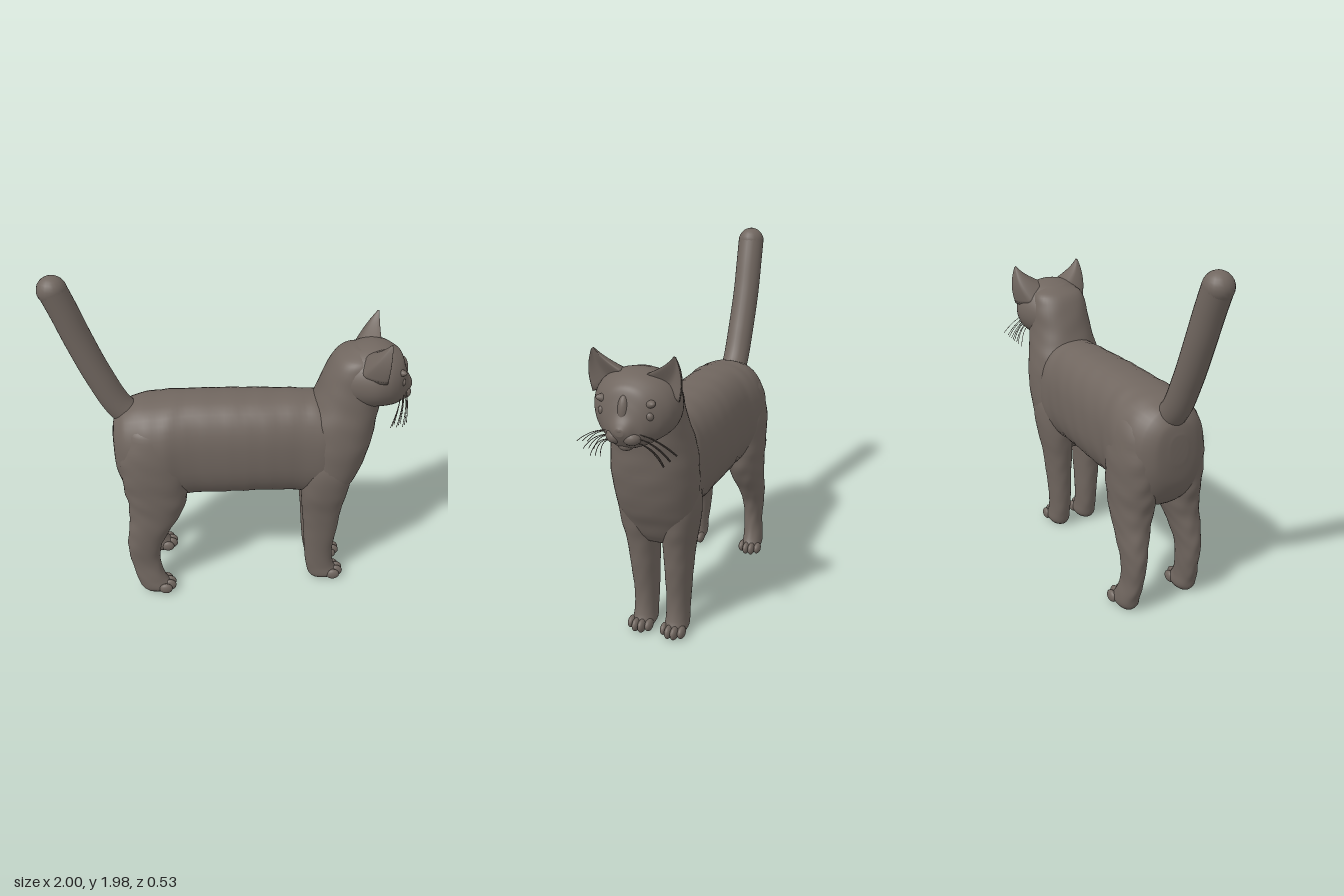
import * as THREE from 'three';

const V = (x, y, z) => new THREE.Vector3(x, y, z);
const fur = new THREE.MeshStandardMaterial({ color: 0x70665f });
fur.name = 'greyBrownFur';

function add(parent, name, geometry) {
  const mesh = new THREE.Mesh(geometry, fur);
  mesh.name = name;
  parent.add(mesh);
  return mesh;
}

// Closed smooth skin over rings of points, capped at both ends
function skin(rings) {
  const n = rings[0].length, pts = rings.flat(), idx = [];
  for (let i = 0; i < rings.length - 1; i++) {
    for (let j = 0; j < n; j++) {
      const k = (j + 1) % n, a = i * n + j, b = i * n + k;
      idx.push(a, b, b + n, a, b + n, a + n);
    }
  }
  for (const end of [0, rings.length - 1]) {
    const mid = V(0, 0, 0);
    rings[end].forEach(p => mid.addScaledVector(p, 1 / n));
    const c = pts.push(mid) - 1;
    for (let j = 0; j < n; j++) {
      const a = end * n + j, b = end * n + (j + 1) % n;
      end ? idx.push(c, a, b) : idx.push(c, b, a);
    }
  }
  const g = new THREE.BufferGeometry().setFromPoints(pts);
  g.setIndex(idx);
  g.computeVertexNormals();
  return g;
}

// Sections [position, low, high, half depth, z centre] along x (low/high in y) or y (low/high in x)
function loft(axis, sections, lumps = 0, steps = 6, power = 0.92) {
  const mids = new THREE.CatmullRomCurve3(sections.map(s => V(s[0], (s[1] + s[2]) / 2, s[4] || 0)));
  const sizes = new THREE.CatmullRomCurve3(sections.map(s => V(s[0], (s[2] - s[1]) / 2, s[3])));
  const rings = [], total = (sections.length - 1) * steps, n = 40;
  const soft = v => Math.sign(v) * Math.abs(v) ** power;
  for (let i = 0; i <= total; i++) {
    const m = mids.getPoint(i / total), r = sizes.getPoint(i / total), ring = [];
    for (let j = 0; j < n; j++) {
      const a = j / n * Math.PI * 2;
      const w = 1 + lumps * Math.sin(m.x * 47 + 2 * Math.sin(a * 2)) * Math.sin(a * 3 + m.x * 9);
      const c = soft(Math.cos(a)) * w, s = soft(Math.sin(a)) * w;
      ring.push(axis === 'x' ? V(m.x, m.y + r.y * c, m.z + r.z * s)
        : V(m.y + r.y * s, m.x, m.z + r.z * c));
    }
    rings.push(ring);
  }
  return skin(rings);
}

function blob(parent, name, pos, size) {
  const mesh = add(parent, name, new THREE.SphereGeometry(1, 20, 14));
  mesh.position.set(...pos);
  mesh.scale.set(...size);
  return mesh;
}

function makeBody(cat) {
  add(cat, 'torso', loft('x', [
    [-0.67, 0.93, 1.08, 0.05], [-0.655, 0.8, 1.15, 0.13], [-0.6, 0.68, 1.215, 0.2],
    [-0.5, 0.62, 1.25, 0.24], [-0.38, 0.63, 1.265, 0.25], [-0.25, 0.65, 1.275, 0.23],
    [0, 0.655, 1.278, 0.228], [0.2, 0.66, 1.275, 0.222], [0.4, 0.65, 1.272, 0.21],
    [0.5, 0.65, 1.26, 0.215], [0.62, 0.68, 1.2, 0.19], [0.7, 0.8, 1.1, 0.13],
  ], 0.008, 6, 0.84));
  add(cat, 'chestAndNeck', loft('y', [
    [0.57, 0.46, 0.62, 0.15], [0.62, 0.43, 0.655, 0.18], [0.7, 0.41, 0.695, 0.205],
    [0.8, 0.4, 0.745, 0.22], [1, 0.4, 0.8, 0.23], [1.15, 0.41, 0.818, 0.215],
    [1.25, 0.455, 0.83, 0.195], [1.35, 0.49, 0.84, 0.18], [1.45, 0.53, 0.83, 0.17],
    [1.52, 0.58, 0.8, 0.145], [1.565, 0.67, 0.78, 0.06],
  ], 0.008));
  // Upright tail with rounded tip
  const path = new THREE.CatmullRomCurve3([V(-0.48, 1.08, 0), V(-0.62, 1.21, 0),
    V(-0.72, 1.4, 0), V(-0.81, 1.62, 0), V(-0.87, 1.79, 0.005), V(-0.917, 1.915, 0.01)]);
  add(cat, 'tail', new THREE.TubeGeometry(path, 40, 0.077, 24));
  blob(cat, 'tailTip', [-0.917, 1.912, 0.01], [0.08, 0.078, 0.077]);
}

function makeLegs(cat, side) {
  const z = v => v * side;
  add(cat, 'hindLeg', loft('y', [
    [0.01, -0.53, -0.38, 0.045, z(0.19)], [0.04, -0.555, -0.365, 0.06, z(0.19)],
    [0.1, -0.575, -0.4, 0.056, z(0.19)], [0.2, -0.6, -0.43, 0.052, z(0.18)],
    [0.32, -0.618, -0.425, 0.06, z(0.178)], [0.42, -0.612, -0.385, 0.073, z(0.172)],
    [0.52, -0.6, -0.325, 0.088, z(0.16)], [0.62, -0.6, -0.275, 0.105, z(0.147)],
    [0.75, -0.62, -0.25, 0.12, z(0.138)], [0.95, -0.63, -0.25, 0.125, z(0.132)],
    [1.12, -0.58, -0.3, 0.09, z(0.13)], [1.2, -0.5, -0.38, 0.03, z(0.12)],
  ], 0.022));
  add(cat, 'frontLeg', loft('y', [
    [0.015, 0.49, 0.64, 0.05, z(0.095)], [0.04, 0.475, 0.655, 0.064, z(0.095)],
    [0.1, 0.46, 0.63, 0.062, z(0.095)], [0.2, 0.447, 0.615, 0.064, z(0.095)],
    [0.4, 0.43, 0.635, 0.074, z(0.1)], [0.55, 0.415, 0.65, 0.086, z(0.105)],
    [0.68, 0.405, 0.675, 0.1, z(0.115)], [0.85, 0.42, 0.69, 0.105, z(0.12)],
    [1, 0.46, 0.66, 0.06, z(0.125)],
  ], 0.01));
  // Four rounded toes on each paw
  for (const [name, x, mid] of [['hindToe', -0.382, 0.195], ['frontToe', 0.648, 0.097]]) {
    for (let i = 0; i < 4; i++) {
      const off = i - 1.5, inner = Math.abs(off) < 1;
      blob(cat, name, [x - (inner ? 0 : 0.022), 0.044, z(mid + off * 0.034)],
        [0.04, inner ? 0.038 : 0.034, 0.021]);
    }
  }
}

function makeHead(cat) {
  const head = new THREE.Group();
  head.name = 'head';
  cat.add(head);
  add(head, 'skull', loft('x', [
    [0.54, 1.34, 1.46, 0.07], [0.6, 1.26, 1.52, 0.15], [0.68, 1.23, 1.565, 0.195],
    [0.77, 1.225, 1.585, 0.22], [0.84, 1.225, 1.575, 0.205], [0.89, 1.225, 1.55, 0.172],
    [0.925, 1.23, 1.52, 0.132], [0.948, 1.24, 1.46, 0.1], [0.965, 1.26, 1.41, 0.07],
    [0.985, 1.29, 1.375, 0.045], [0.998, 1.315, 1.35, 0.022],
  ], 0, 6, 0.96));
  blob(head, 'noseBridge', [0.925, 1.41, 0], [0.045, 0.09, 0.034]);
  blob(head, 'noseTip', [0.978, 1.342, 0], [0.022, 0.022, 0.03]);
  blob(head, 'chin', [0.925, 1.25, 0], [0.036, 0.03, 0.042]);
  for (const side of [1, -1]) {
    blob(head, 'muzzlePad', [0.945, 1.298, 0.042 * side], [0.046, 0.038, 0.048]);
    const eye = blob(head, 'eyelid', [0.9, 1.4, 0.105 * side], [0.026, 0.03, 0.046]);
    eye.rotation.set(-0.25 * side, 0.75 * side, 0);
    const brow = blob(head, 'brow', [0.89, 1.455, 0.105 * side], [0.026, 0.022, 0.06]);
    brow.rotation.set(-0.3 * side, 0.7 * side, 0);
    makeEar(head, side);
    makeWhiskers(head, side);
  }
}

// Pointed ear with a hollowed front, its base loop drawn in to the tip
function makeEar(head, side) {
  const base = [V(0.815, 1.45, 0.225), V(0.785, 1.51, 0.15), V(0.82, 1.565, 0.055),
    V(0.7, 1.535, 0.075), V(0.68, 1.46, 0.17)].map(p => p.setZ(p.z * side));
  if (side < 0) base.reverse();
  const loop = new THREE.CatmullRomCurve3(base, true, 'catmullrom', 0.4).getPoints(30).slice(0, 30);
  const tip = V(0.825, 1.682, 0.212 * side), rings = [];
  for (let i = 0; i <= 8; i++) {
    const t = i / 8 * 0.93;
    rings.push(loop.map(p => {
      const q = p.clone().lerp(tip, t);
      q.z += side * 0.022 * Math.sin(Math.PI * t);
      return q;
    }));
  }
  add(head, 'ear', skin(rings));
}

// Thin drooping whiskers fanning out from the muzzle
function makeWhiskers(head, side) {
  for (let i = 0; i < 9; i++) {
    const f = i / 8, y = 1.325 - 0.06 * f, row = i % 3;
    const curve = new THREE.QuadraticBezierCurve3(
      V(0.955 - 0.012 * row, y, 0.06 * side),
      V(0.955 - 0.02 * row, y - 0.005, (0.16 - 0.02 * f) * side),
      V(0.93 - 0.03 * row, 1.23 - 0.09 * f, (0.26 - 0.09 * f) * side));
    add(head, 'whisker', new THREE.TubeGeometry(curve, 10, 0.0018, 5));
  }
}

export function createModel() {
  const cat = new THREE.Group();
  cat.name = 'standingCat';
  makeBody(cat);
  makeHead(cat);
  for (const side of [1, -1]) makeLegs(cat, side);
  return cat;
}
